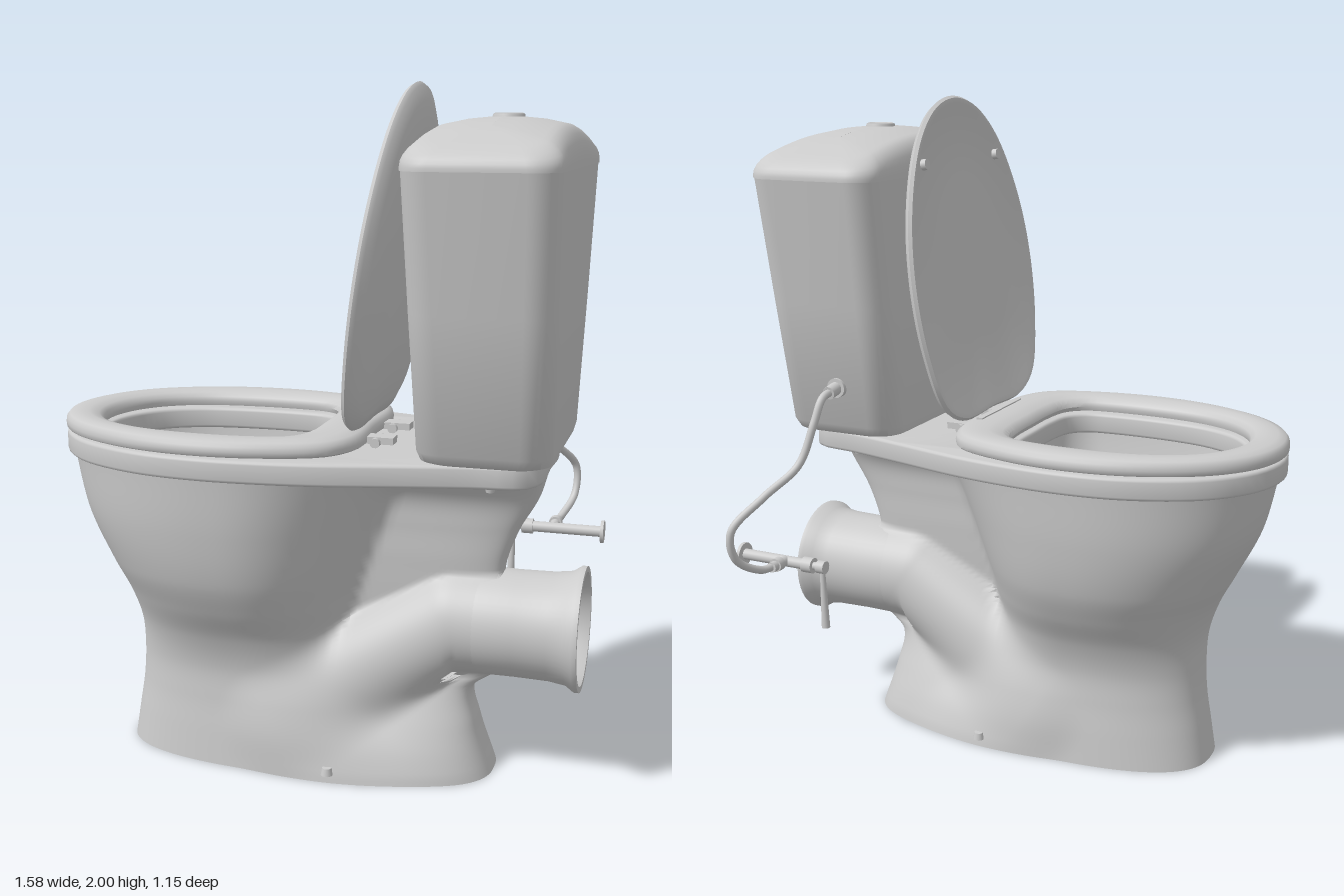
import * as THREE from 'three';
import { toCreasedNormals } from 'three/addons/utils/BufferGeometryUtils.js';

const material = new THREE.MeshStandardMaterial({ color: 0xcccccc, side: THREE.DoubleSide });
const V = (x, y, z) => new THREE.Vector3(x, y, z);

function add(parent, name, geometry, pos = [0, 0, 0]) {
  const mesh = new THREE.Mesh(geometry, material);
  mesh.name = name;
  mesh.position.set(...pos);
  parent.add(mesh);
}

// Creased normals, computed enlarged so that close vertices stay apart.
const creased = (g, angle) => toCreasedNormals(g.scale(100, 100, 100), angle).scale(0.01, 0.01, 0.01);

// Skin through rings of equal point count, ordered bottom to top on the outside.
function loft(rings, { bottom = false, top = false, closed = false, crease = 0.7 } = {}) {
  const n = rings[0].length, pos = [], idx = [];
  rings.flat().forEach(p => pos.push(p.x, p.y, p.z));
  const last = closed ? rings.length : rings.length - 1;
  for (let i = 0; i < last; i++) for (let j = 0; j < n; j++) {
    const k = (j + 1) % n, up = ((i + 1) % rings.length) * n;
    const a = i * n + j, b = i * n + k, c = up + k, d = up + j;
    idx.push(a, d, b, b, d, c);
  }
  const cap = (i, flip) => {
    const c = rings[i].reduce((s, p) => s.add(p), V(0, 0, 0)).divideScalar(n);
    const m = pos.length / 3;
    pos.push(c.x, c.y, c.z);
    for (let j = 0; j < n; j++) {
      const a = i * n + j, b = i * n + (j + 1) % n;
      idx.push(m, flip ? b : a, flip ? a : b);
    }
  };
  if (bottom) cap(0, false);
  if (top) cap(rings.length - 1, true);
  const g = new THREE.BufferGeometry();
  g.setAttribute('position', new THREE.Float32BufferAttribute(pos, 3));
  g.setIndex(idx);
  return creased(g, crease);
}

// Smooth interpolation of table rows [key, value, value, ...].
function lookup(rows, key) {
  const last = rows.length - 1;
  let i = 0;
  while (i < last - 1 && key > rows[i + 1][0]) i++;
  const a = rows[i], b = rows[i + 1], p = rows[Math.max(i - 1, 0)], q = rows[Math.min(i + 2, last)];
  const w = b[0] - a[0], t = Math.min(Math.max((key - a[0]) / w, 0), 1), t2 = t * t, t3 = t2 * t;
  return a.slice(1).map((v, c) => {
    const m0 = (b[c + 1] - p[c + 1]) / (b[0] - p[0]) * w, m1 = (q[c + 1] - a[c + 1]) / (q[0] - a[0]) * w;
    return (2 * t3 - 3 * t2 + 1) * v + (t3 - 2 * t2 + t) * m0 + (3 * t2 - 2 * t3) * b[c + 1] + (t3 - t2) * m1;
  });
}

// Plan outline from half points [x, z] running back to front, mirrored in z.
function outline(half, n = 96) {
  const pts = [...half, ...half.slice(1, -1).reverse().map(([x, z]) => [x, -z])];
  const curve = new THREE.CatmullRomCurve3(pts.map(([x, z]) => V(x, 0, z)), true);
  return curve.getSpacedPoints(n).slice(0, n);
}
const toPath = (pts, Type) => new Type(pts.map(p => new THREE.Vector2(p.x, p.z)));

const seatEdge = outline([[0.17, 0], [0.168, 0.21], [0.11, 0.315], [-0.05, 0.38], [-0.23, 0.403], [-0.42, 0.38],
  [-0.6, 0.305], [-0.7, 0.225], [-0.765, 0.125], [-0.79, 0]]);
const opening = outline([[0.01, 0], [0.008, 0.12], [-0.01, 0.215], [-0.06, 0.262], [-0.15, 0.278], [-0.35, 0.275],
  [-0.48, 0.25], [-0.58, 0.195], [-0.645, 0.11], [-0.67, 0]]);
const deckEdge = outline([[0.67, 0], [0.67, 0.17], [0.635, 0.235], [0.5, 0.262], [0.32, 0.305], [0.1, 0.36], [-0.05, 0.383],
  [-0.23, 0.393], [-0.42, 0.37], [-0.6, 0.296], [-0.692, 0.217], [-0.753, 0.12], [-0.778, 0]]);

// Pedestal tables by height: bowl [front, back, half width, front roundness], rear rib [end, half width], foot [half width].
const BOWL = [[0, -0.6, 0.5, 0.232, 2.6], [0.1, -0.585, 0.4, 0.222, 2.5], [0.2, -0.57, 0.27, 0.21, 2.4],
  [0.3, -0.565, 0.18, 0.208, 2.3], [0.4, -0.57, 0.14, 0.238, 2.2], [0.5, -0.6, 0.15, 0.295, 2.1], [0.6, -0.65, 0.18, 0.34, 2.1],
  [0.75, -0.722, 0.24, 0.37, 2.1], [0.93, -0.765, 0.32, 0.386, 2.1]];
const RIB = [[0, 0.54, 0.1], [0.15, 0.49, 0.1], [0.26, 0.475, 0.08], [0.32, 0.55, 0.05], [0.6, 0.555, 0.07],
  [0.66, 0.565, 0.075], [0.75, 0.6, 0.08], [0.84, 0.65, 0.095], [0.93, 0.675, 0.16]];
const FOOT = [[0, 0.205], [0.03, 0.202], [0.1, 0.18], [0.2, 0.13], [0.3, 0.07], [0.4, 0]];

const oval = (x, x0, x1, w, e) => {
  const u = Math.abs((2 * x - x0 - x1) / (x1 - x0));
  return u >= 1 ? 0 : w * Math.pow(1 - Math.pow(u, e), 1 / e);
};

// Oval in front, easing out gently behind.
function bowl(x, x0, x1, w, e) {
  const u = (2 * x - x0 - x1) / (x1 - x0);
  return u > 0 && u < 1 ? w * (1 - u ** 2.6) : oval(x, x0, x1, w, e);
}

// Half width of the slanting trap tube that leads into the outlet.
function trap(x, y) {
  const t = Math.min(Math.max(((x + 0.08) * 0.5 + (y - 0.14) * 0.32) / 0.3524, 0), 1);
  const cx = -0.08 + 0.5 * t, cy = 0.14 + 0.32 * t;
  const d = Math.hypot(x > 0.42 ? 0 : x - cx, y - (x > 0.42 ? 0.46 : cy));
  return Math.sqrt(Math.max(0, (0.19 - 0.035 * t) ** 2 - d * d));
}

function pedestalHalfWidth(x, y) {
  const [x0, xb, w, e] = lookup(BOWL, y), [x1, rib] = lookup(RIB, y), [foot] = lookup(FOOT, y);
  const parts = [bowl(x, x0, xb, w, e), oval(x, -0.3, x1, rib, 4), oval(x, -0.2, x1, foot, 2.5), trap(x, y)];
  return Math.pow(parts.reduce((s, h) => s + h ** 5, 0), 0.2);
}

function pedestal() {
  const rings = [], n = 160, rows = 80;
  for (let i = 0; i <= rows; i++) {
    const y = 0.93 * i / rows, x0 = lookup(BOWL, y)[0], x1 = lookup(RIB, y)[0], ring = [];
    for (let j = 0; j < n; j++) {
      const a = (j + 0.5) / n * Math.PI * 2;
      const x = (x0 + x1) / 2 + (x1 - x0) / 2 * Math.cos(a);
      ring.push(V(x, y, Math.sign(Math.sin(a)) * pedestalHalfWidth(x, y)));
    }
    rings.push(ring);
  }
  return loft(rings, { bottom: true, crease: 1.2 });
}

// Rounded rectangle ring centred on cx, its long sides divided so they can follow a dome.
function roundRect(cx, hx, hz, r, yAt) {
  const ring = [], put = (x, z) => ring.push(V(cx + x, yAt(z), z));
  for (let q = 0; q < 4; q++) {
    const sx = q === 0 || q === 3 ? 1 : -1, sz = q < 2 ? 1 : -1;
    for (let k = 0; k <= 8; k++) {
      const a = (q + k / 8) * Math.PI / 2;
      put(sx * (hx - r) + r * Math.cos(a), sz * (hz - r) + r * Math.sin(a));
    }
    if (q % 2) for (let k = 1; k < 16; k++) put(sx * hx, sz * (hz - r) * (k / 8 - 1) * -1);
  }
  return ring;
}

function rod(r, from, to, r2 = r) {
  const a = V(...from), d = V(...to).sub(a);
  const g = new THREE.CylinderGeometry(r2, r, d.length(), 20);
  g.applyQuaternion(new THREE.Quaternion().setFromUnitVectors(V(0, 1, 0), d.clone().normalize()));
  return g.translate(...a.addScaledVector(d, 0.5).toArray());
}

export function createModel() {
  const root = new THREE.Group();
  root.name = 'toilet';
  const main = new THREE.Group();
  main.name = 'ceramics';
  main.position.z = 0.125;
  root.add(main);

  add(main, 'pedestal', pedestal());

  // Rim and tank deck in one plate
  const plate = toPath(deckEdge, THREE.Shape);
  plate.holes.push(toPath(opening, THREE.Path));
  const rim = new THREE.ExtrudeGeometry(plate, { depth: 0.045, bevelThickness: 0.01, bevelSize: 0.01, bevelSegments: 3 });
  add(main, 'rim', creased(rim.rotateX(Math.PI / 2).translate(0, 0.977, 0), 0.7));

  // Inside of the bowl, [y, centre x, scale], top to bottom
  const basin = [[0.95, -0.33, 1.02], [0.85, -0.33, 0.99], [0.72, -0.32, 0.88], [0.6, -0.315, 0.73], [0.5, -0.32, 0.57],
    [0.43, -0.335, 0.42], [0.38, -0.345, 0.33], [0.28, -0.345, 0.31]].map(([y, cx, s]) =>
    opening.map(p => V(cx + (p.x + 0.33) * s, y, p.z * s)));
  add(main, 'basin', loft(basin, { top: true }));

  // Outlet pipe with flared mouth
  const pipe = [[0.145, 0.43], [0.157, 0.5], [0.156, 0.6], [0.158, 0.7], [0.165, 0.75], [0.182, 0.775], [0.182, 0.79],
    [0.165, 0.79], [0.15, 0.75], [0.14, 0.6], [0, 0.57]].map(p => new THREE.Vector2(...p));
  add(main, 'outletPipe', creased(new THREE.LatheGeometry(pipe, 48).rotateZ(-Math.PI / 2), 0.7), [0, 0.46, 0]);

  // Seat: closed section swept between the opening and the outer edge
  const section = [[0.96, 0.994], [0.99, 0.998], [1, 1.01], [0.98, 1.024], [0.9, 1.035], [0.7, 1.041], [0.4, 1.041],
    [0.15, 1.034], [0.03, 1.022], [0, 1.008], [0.04, 0.994]];
  add(main, 'seat', loft(section.map(([t, y]) => seatEdge.map((p, j) => opening[j].clone().lerp(p, t).setY(y))), { closed: true }));

  // Raised cover, modelled flat and turned about its hinge
  const cover = new THREE.Group();
  cover.name = 'cover';
  cover.position.set(0.143, 1.048, 0);
  cover.rotation.z = -98 * Math.PI / 180;
  main.add(cover);
  const coverSection = [[0.05, 0.012], [0.5, 0.012], [0.92, 0.01], [0.955, 0], [0.985, 0], [1, 0.01], [0.985, 0.022], [0.9, 0.038],
    [0.75, 0.052], [0.5, 0.062], [0.25, 0.066], [0.03, 0.067]];
  add(cover, 'coverShell', loft(coverSection.map(([s, y]) => seatEdge.map(p => V(-0.48 + (p.x + 0.31) * s, y, p.z * s * 0.985))),
    { bottom: true, top: true }));
  for (const s of [-1, 1]) {
    add(cover, 'bumper', new THREE.CylinderGeometry(0.016, 0.016, 0.02, 16), [-0.77, 0.004, s * 0.235]);
    add(main, 'hinge', rod(0.014, [0.2, 1.0, s * 0.1 - 0.04], [0.2, 1.0, s * 0.1 + 0.04]));
    add(main, 'hingeArm', new THREE.BoxGeometry(0.13, 0.02, 0.05), [0.185, 1.005, s * 0.1]);
    add(main, 'deckBolt', new THREE.CylinderGeometry(0.018, 0.012, 0.03, 12), [0.54, 0.91, s * 0.18]);
    add(main, 'floorBolt', new THREE.CylinderGeometry(0.014, 0.018, 0.022, 16), [0.09, 0.035, s * 0.243]);
  }
  add(main, 'hingeBar', new THREE.BoxGeometry(0.02, 0.03, 0.28), [0.13, 1.03, 0]);

  // Tank, widening upward
  const tank = [[0.985, 0.165, 0.28], [0.992, 0.18, 0.297], [1.02, 0.187, 0.315], [1.4, 0.198, 0.382], [1.775, 0.207, 0.447]]
    .map(([y, hx, hz]) => roundRect(0.532, hx, hz, 0.08, () => y));
  add(main, 'tank', loft(tank, { bottom: true }));

  // Domed tank lid with rounded shoulders, closing along its ridge
  const lidRings = [[0, -0.005], [0, 0.15]];
  for (let k = 1; k <= 6; k++) {
    const a = k / 6 * Math.PI / 2;
    lidRings.push([0.065 * (1 - Math.cos(a)), 0.15 + 0.73 * Math.sin(a)]);
  }
  lidRings.push([0.11, 0.95], [0.16, 0.985], [0.2099, 1]);
  const lid = lidRings.map(([inset, e]) => roundRect(0.532, 0.21 - inset, 0.45 - inset, 0.085 * (1 - inset / 0.21),
    z => 1.77 + e * (0.055 + 0.079 * (1 - (z / 0.45) ** 2))));
  add(main, 'tankLid', loft(lid));
  const button = [[0, 0.01], [0.028, 0.008], [0.03, 0.003], [0.034, 0.003], [0.037, 0.01], [0.044, 0.006], [0.046, -0.02]]
    .reverse().map(p => new THREE.Vector2(...p));
  add(main, 'flushButton', new THREE.LatheGeometry(button, 32), [0.535, 1.903, 0]);

  // Water supply
  const supply = new THREE.Group();
  supply.name = 'waterSupply';
  root.add(supply);
  const hosePoints = [[0.51, 1.14, -0.24], [0.51, 1.13, -0.3], [0.52, 1.06, -0.335], [0.55, 0.94, -0.38], [0.61, 0.86, -0.48],
    [0.67, 0.77, -0.565], [0.67, 0.68, -0.55], [0.64, 0.625, -0.47], [0.63, 0.62, -0.4]].map(p => V(...p));
  add(supply, 'hose', new THREE.TubeGeometry(new THREE.CatmullRomCurve3(hosePoints), 80, 0.012, 12));
  add(supply, 'tankNut', rod(0.03, [0.51, 1.145, -0.19], [0.51, 1.145, -0.225]));
  add(supply, 'tankFitting', rod(0.02, [0.51, 1.145, -0.22], [0.51, 1.138, -0.265]));
  add(supply, 'supplyPipe', rod(0.017, [0.54, 0.615, -0.35], [0.785, 0.615, -0.35]));
  add(supply, 'wallFlange', rod(0.036, [0.78, 0.615, -0.35], [0.79, 0.615, -0.35]));
  add(supply, 'valveCollar', rod(0.024, [0.53, 0.615, -0.35], [0.565, 0.615, -0.35]));
  add(supply, 'valveStem', rod(0.012, [0.495, 0.615, -0.35], [0.54, 0.615, -0.35]));
  add(supply, 'valveOutlet', rod(0.016, [0.63, 0.617, -0.35], [0.63, 0.62, -0.43]));
  add(supply, 'hoseNut', rod(0.021, [0.63, 0.62, -0.385], [0.63, 0.62, -0.41]));
  add(supply, 'valveKnob', rod(0.02, [0.488, 0.615, -0.35], [0.515, 0.615, -0.35]));
  add(supply, 'valveHandle', rod(0.008, [0.5, 0.605, -0.35], [0.495, 0.42, -0.35], 0.013));
  return root;
}
